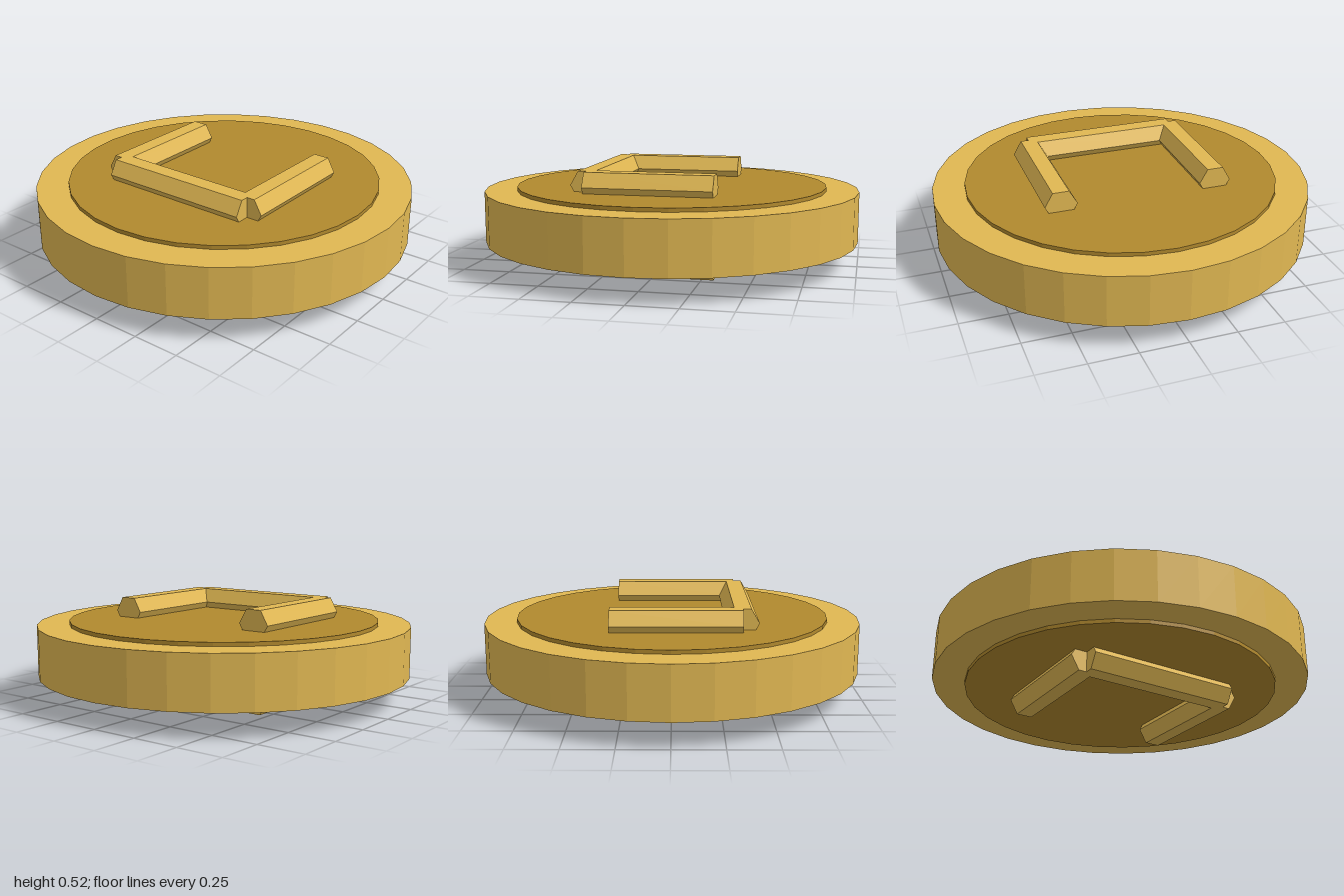
import * as THREE from 'three';

export function createModel() {
  const gold = new THREE.MeshStandardMaterial({ color: 0xe0b752, flatShading: true });
  gold.name = 'gold';
  const darkGold = new THREE.MeshStandardMaterial({ color: 0xb1892e, flatShading: true });
  darkGold.name = 'dark gold';

  const MID = 0.2615; // height of the coin's middle plane
  const coin = new THREE.Group();
  coin.name = 'coin';

  function add(parent, name, geometry, material, x, y, z) {
    const mesh = new THREE.Mesh(geometry, material);
    mesh.name = name;
    mesh.position.set(x, y, z);
    parent.add(mesh);
    return mesh;
  }

  // Outer body, and a slightly thicker inner disc showing on both faces
  add(coin, 'rim', new THREE.CylinderGeometry(1, 1, 0.27, 32), gold, 0, MID, 0);
  add(coin, 'innerDisc', new THREE.CylinderGeometry(0.83, 0.83, 0.31, 32), darkGold, 0, MID, 0);

  // Six-sided bar lying along x, flat side up
  const BAR = 0.085;
  const bar = (length) => new THREE.CylinderGeometry(BAR, BAR, length, 6).rotateZ(Math.PI / 2);

  // Raised three-sided bracket on each face
  const left = -0.355, right = 0.31, reach = 0.415;
  const offset = MID - BAR * Math.sqrt(3) / 2;
  for (const [name, side] of [['topEmblem', 1], ['bottomEmblem', -1]]) {
    const emblem = new THREE.Group();
    emblem.name = name;
    emblem.position.y = MID + side * offset;
    add(emblem, 'spineBar', bar(2 * reach).rotateY(Math.PI / 2), gold, left, 0, 0);
    add(emblem, 'frontArm', bar(right - left), gold, (left + right) / 2, 0, reach);
    add(emblem, 'backArm', bar(right - left), gold, (left + right) / 2, 0, -reach);
    coin.add(emblem);
  }
  return coin;
}
